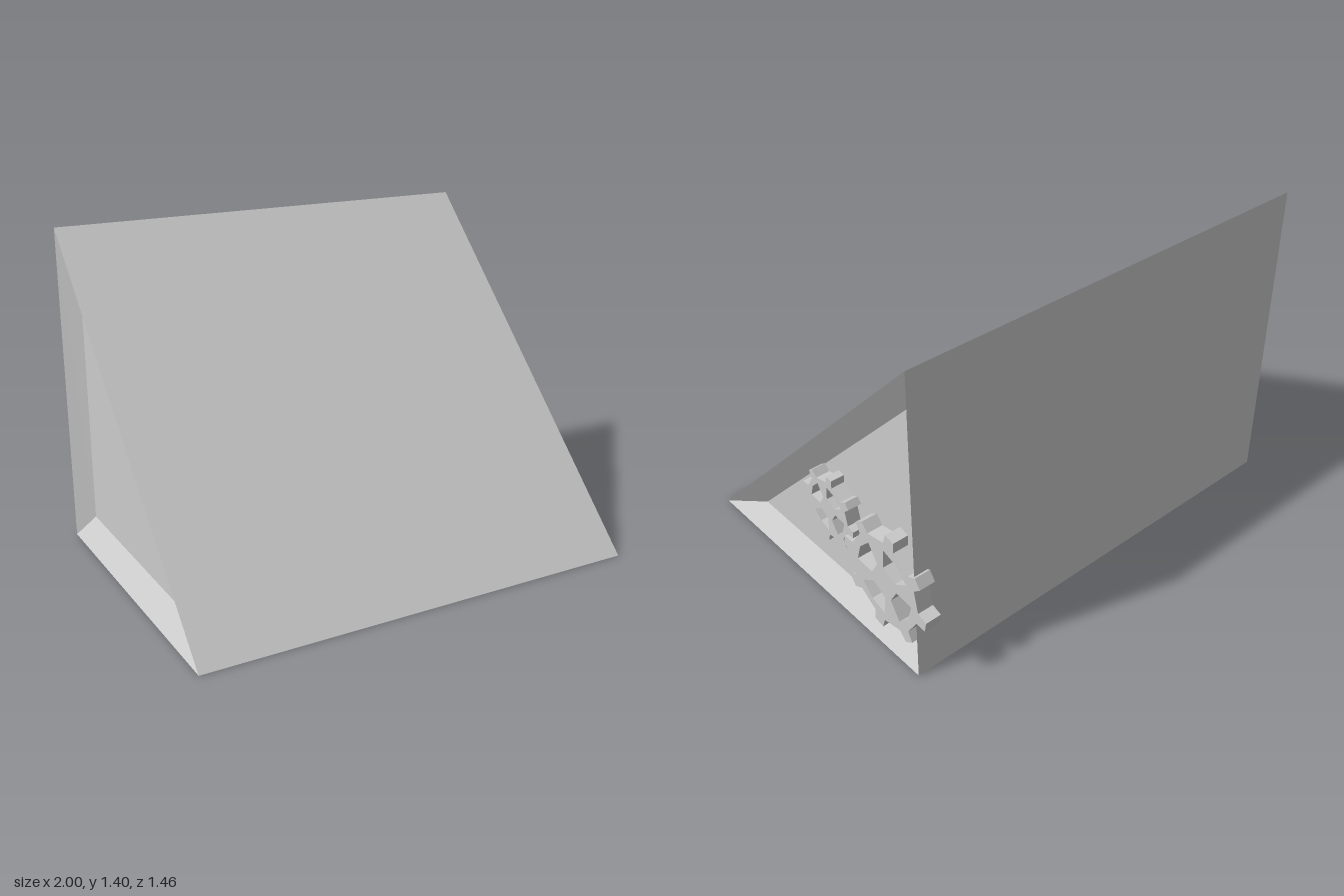
import * as THREE from 'three';

const material = new THREE.MeshStandardMaterial({ color: 0xcccccc, flatShading: true });
const DEG = Math.PI / 180;

// Triangular prism with a bevelled recess in each end, lofted through four rings
function wedge() {
  const rim = [[0, 0.73], [0, -0.66], [1.405, -0.668]]; // [y, z]
  const floor = [[0.102, 0.493], [0.102, -0.583], [1.182, -0.583]];
  const ring = (profile, x) => profile.map(([y, z]) => [x, y, z]);
  const rings = [ring(floor, 0.92), ring(rim, 0.99), ring(rim, -1), ring(floor, -0.93)];
  const pos = [];
  const tri = (...corners) => corners.forEach((c) => pos.push(...c));
  tri(...rings[0]);
  for (let r = 0; r < 3; r++) {
    for (let i = 0; i < 3; i++) {
      const j = (i + 1) % 3;
      tri(rings[r][i], rings[r + 1][i], rings[r][j]);
      tri(rings[r][j], rings[r + 1][i], rings[r + 1][j]);
    }
  }
  tri(...[...rings[3]].reverse());
  const geo = new THREE.BufferGeometry();
  geo.setAttribute('position', new THREE.Float32BufferAttribute(pos, 3));
  geo.computeVertexNormals();
  return geo;
}

// Eight-toothed gear with four windows, its axis along x
function gear({ tip, root, holeOuter, holeInner, toothAngle, holeAngle, thickness }) {
  const polar = (r, deg) => new THREE.Vector2(r * Math.cos(deg * DEG), r * Math.sin(deg * DEG));
  const outline = [];
  for (let i = 0; i < 8; i++) {
    const a = toothAngle + i * 45;
    outline.push(polar(root, a - 8.5), polar(tip, a - 5.5), polar(tip, a + 5.5), polar(root, a + 8.5));
  }
  const shape = new THREE.Shape(outline);
  for (let i = 0; i < 4; i++) {
    const a = holeAngle + i * 90;
    shape.holes.push(new THREE.Path([
      polar(holeInner, a - 30), polar(holeInner, a + 30),
      polar(holeOuter, a + 28), polar(holeOuter, a), polar(holeOuter, a - 28),
    ]));
  }
  return new THREE.ExtrudeGeometry(shape, { depth: thickness, bevelEnabled: false }).rotateY(Math.PI / 2);
}

export function createModel() {
  const model = new THREE.Group();
  const add = (name, geometry, x = 0, y = 0, z = 0) => {
    const mesh = new THREE.Mesh(geometry, material);
    mesh.name = name;
    mesh.position.set(x, y, z);
    model.add(mesh);
  };

  add('wedgeBody', wedge());

  // Pair of meshing gears in the left recess
  add('largeGear', gear({
    tip: 0.252, root: 0.205, holeOuter: 0.165, holeInner: 0.076,
    toothAngle: 78.5, holeAngle: 59, thickness: 0.07,
  }), 0.927, 0.361, -0.48);
  add('smallGear', gear({
    tip: 0.168, root: 0.134, holeOuter: 0.11, holeInner: 0.05,
    toothAngle: 80.5, holeAngle: 59, thickness: 0.06,
  }), 0.927, 0.483, -0.115);

  return model;
}
